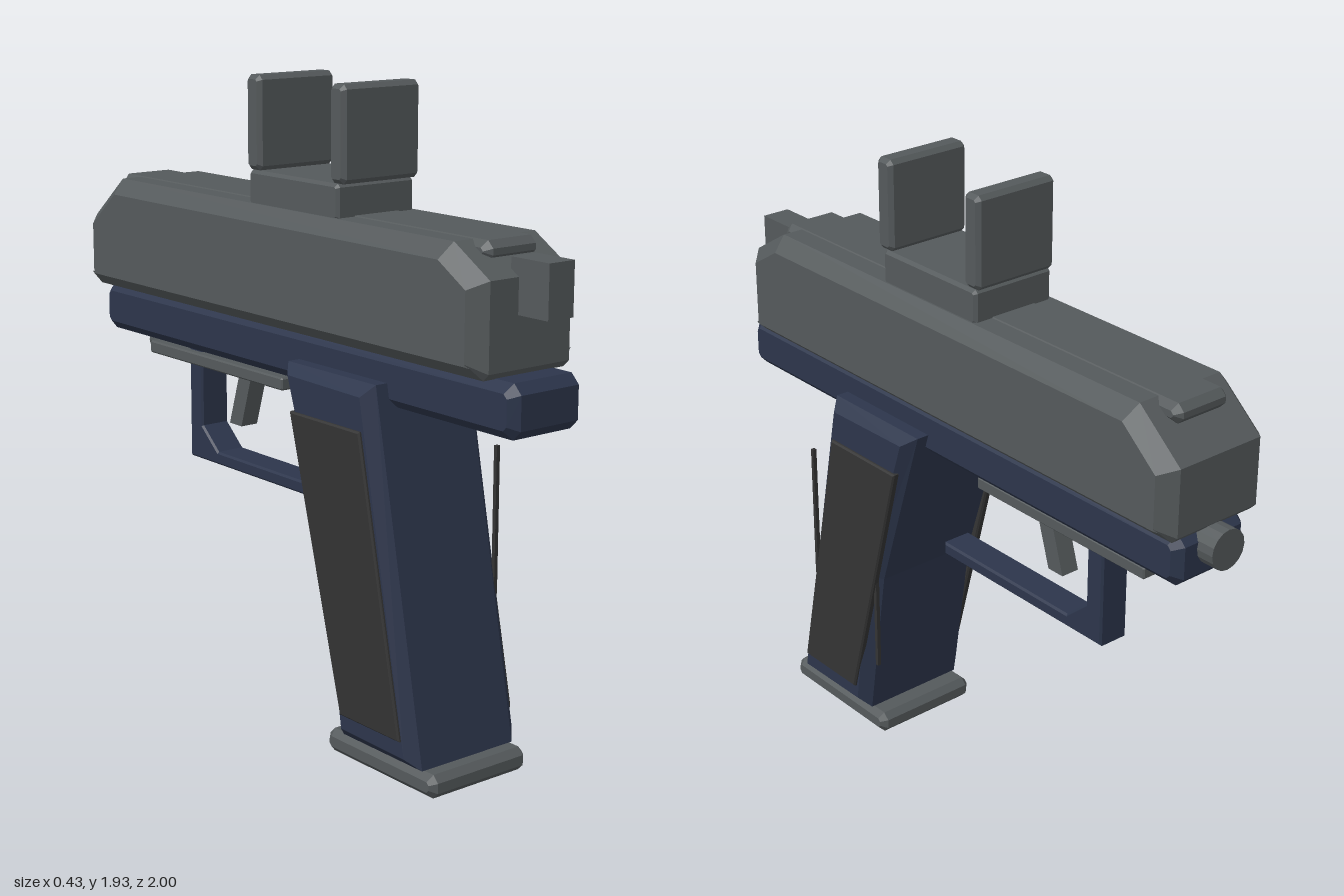
import * as THREE from 'three';

const mat = (name, color) => Object.assign(new THREE.MeshStandardMaterial({ color, flatShading: true }), { name });

export function createModel() {
  const model = new THREE.Group();
  const grey = mat('gunmetal grey', 0x54595b);
  const blue = mat('navy blue', 0x2c354b);
  const dark = mat('dark rubber', 0x333333);

  // Side outline of [z, y] points, extruded across x with bevelled side edges
  function slab(name, material, points, halfWidth, bevel = 0, centerX = 0) {
    const shape = new THREE.Shape(points.map(([z, y]) => new THREE.Vector2(-z, y)));
    const depth = 2 * (halfWidth - bevel);
    const geo = new THREE.ExtrudeGeometry(shape, {
      depth, bevelEnabled: bevel > 0, bevelSize: bevel, bevelThickness: bevel,
      bevelOffset: -bevel, bevelSegments: 1,
    });
    geo.translate(0, 0, -depth / 2).rotateY(Math.PI / 2);
    const mesh = new THREE.Mesh(geo, material);
    mesh.name = name;
    mesh.position.x = centerX;
    model.add(mesh);
    return mesh;
  }

  // Block from z0 (rear, larger) to z1, with all edges chamfered by c
  function block(name, material, z0, z1, y0, y1, halfWidth, c = 0, centerX = 0) {
    const points = c > 0
      ? [[z0, y0 + c], [z0 - c, y0], [z1 + c, y0], [z1, y0 + c],
        [z1, y1 - c], [z1 + c, y1], [z0 - c, y1], [z0, y1 - c]]
      : [[z0, y0], [z1, y0], [z1, y1], [z0, y1]];
    return slab(name, material, points, halfWidth, c * 0.95, centerX);
  }

  function rod(name, material, radius, z0, z1, y) {
    const geo = new THREE.CylinderGeometry(radius, radius, z0 - z1, 16).rotateX(Math.PI / 2);
    const mesh = new THREE.Mesh(geo, material);
    mesh.name = name;
    mesh.position.set(0, y, (z0 + z1) / 2);
    model.add(mesh);
  }

  // Slide with sloped ends, top rib and rear block
  slab('slide', grey, [
    [0.89, 1.23], [0.87, 1.21], [-0.935, 1.21], [-0.955, 1.23],
    [-0.955, 1.43], [-0.80, 1.56], [0.75, 1.56], [0.89, 1.475],
  ], 0.19, 0.045);
  block('topRib', grey, 0.825, -0.89, 1.505, 1.563, 0.095, 0.02);
  block('rearBlock', grey, 1.0, 0.86, 1.375, 1.525, 0.045);

  // Sight mount with two upright plates
  block('sightBase', grey, 0.265, -0.145, 1.55, 1.655, 0.14, 0.01);
  for (const z of [0.29, -0.092]) block('sightPlate', grey, z, z - 0.066, 1.655, 1.928, 0.14, 0.013);

  // Lower frame and muzzle
  block('frame', blue, 0.97, -0.945, 1.06, 1.212, 0.13, 0.028);
  rod('muzzle', grey, 0.06, -0.92, -1.0, 1.165);

  // Grip, side panels and base plate
  slab('grip', blue, [
    [0.47, 1.13], [0.68, 0.07], [0.337, 0.07], [0.257, 0.58], [0.08, 1.13],
  ], 0.205, 0.035);
  for (const side of [-1, 1]) {
    slab('gripPanel', dark, [[0.45, 1.0], [0.63, 0.15], [0.37, 0.15], [0.14, 1.0]], 0.012, 0.005, side * 0.203);
  }
  block('basePlate', grey, 0.737, 0.265, 0, 0.07, 0.18, 0.02);

  // Thin pins on one side of the grip
  block('rearPin', dark, 0.571, 0.559, 0.48, 0.92, 0.006, 0, 0.198);
  block('frontPin', dark, 0.266, 0.254, 0.28, 0.62, 0.006, 0, 0.198);

  // Trigger plate, spacers and trigger
  block('triggerPlate', grey, -0.075, -0.77, 0.998, 1.037, 0.075, 0.005);
  rod('plateEnd', grey, 0.036, -0.72, -0.83, 1.025);
  for (const [z0, z1] of [[-0.13, -0.19], [-0.40, -0.56], [-0.62, -0.75]]) {
    block('spacer', grey, z0, z1, 1.03, 1.07, 0.04);
  }
  slab('trigger', grey, [[-0.265, 1.07], [-0.34, 0.83], [-0.4, 0.83], [-0.325, 1.07]], 0.03, 0);

  // Trigger guard with a gusseted corner
  slab('triggerGuard', blue, [
    [0.11, 0.69], [-0.585, 0.69], [-0.585, 1.07], [-0.52, 1.07],
    [-0.52, 0.80], [-0.44, 0.73], [0.11, 0.73],
  ], 0.05, 0.006);

  return model;
}
